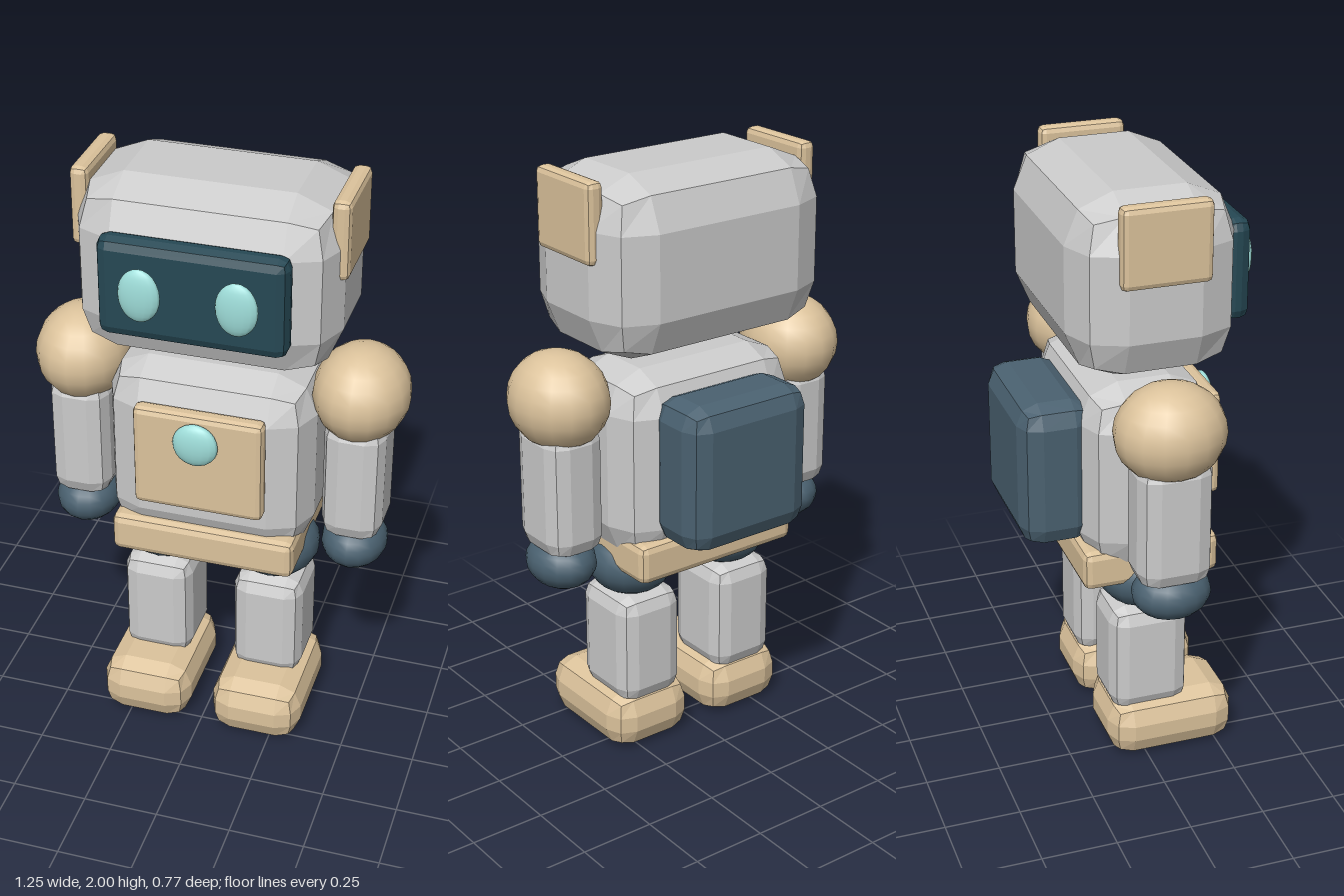
import * as THREE from 'three';
import { RoundedBoxGeometry } from 'three/addons/geometries/RoundedBoxGeometry.js';

const shell = new THREE.MeshStandardMaterial({ color: 0xd6dad8, flatShading: true });
const tan = new THREE.MeshStandardMaterial({ color: 0xdcc39c, flatShading: true });
const slate = new THREE.MeshStandardMaterial({ color: 0x4a6170, flatShading: true });
const dark = new THREE.MeshStandardMaterial({ color: 0x264854, flatShading: true });
const tanSmooth = new THREE.MeshStandardMaterial({ color: 0xdcc39c });
const slateSmooth = new THREE.MeshStandardMaterial({ color: 0x4a6170 });
const glow = new THREE.MeshStandardMaterial({ color: 0x9fdeda });

// Faceted box given by its extents on each axis and a bevel radius
function block(name, [x0, x1], [y0, y1], [z0, z1], radius, material) {
  const mesh = new THREE.Mesh(new RoundedBoxGeometry(x1 - x0, y1 - y0, z1 - z0, 1, radius), material);
  mesh.position.set((x0 + x1) / 2, (y0 + y1) / 2, (z0 + z1) / 2);
  mesh.name = name;
  return mesh;
}

// Smooth ellipsoid given by its centre and radii
function ball(name, centre, radii, material) {
  const mesh = new THREE.Mesh(new THREE.SphereGeometry(1, 16, 12), material);
  mesh.scale.set(...radii);
  mesh.position.set(...centre);
  mesh.name = name;
  return mesh;
}

export function createModel() {
  const robot = new THREE.Group();
  robot.name = 'robot';

  // Head and face screen
  robot.add(block('head', [-0.425, 0.425], [1.41, 2.0], [-0.257, 0.285], 0.155, shell));
  robot.add(block('faceScreen', [-0.3, 0.3], [1.54, 1.87], [0.25, 0.34], 0.035, dark));

  // Torso, chest panel and light, belt and backpack
  robot.add(block('torso', [-0.345, 0.345], [0.71, 1.355], [-0.2, 0.232], 0.13, shell));
  robot.add(block('chestPanel', [-0.215, 0.215], [0.9, 1.26], [0.225, 0.285], 0.02, tan));
  robot.add(ball('chestLight', [0, 1.167, 0.298], [0.075, 0.075, 0.028], glow));
  robot.add(block('belt', [-0.31, 0.31], [0.665, 0.8], [-0.21, 0.25], 0.025, tan));
  robot.add(block('backpack', [-0.237, 0.237], [0.8, 1.295], [-0.388, -0.14], 0.07, slate));

  // Paired parts, built on the left (+x) and mirrored to the right
  for (const [side, s] of [['left', 1], ['right', -1]]) {
    const span = (a, b) => (s > 0 ? [a, b] : [-b, -a]);
    robot.add(ball(side + 'Eye', [s * 0.152, 1.71, 0.36], [0.067, 0.088, 0.025], glow));
    robot.add(block(side + 'Ear', span(0.38, 0.44), [1.74, 2.0], [-0.13, 0.16], 0.02, tan));

    // Arm
    robot.add(ball(side + 'Shoulder', [s * 0.467, 1.285, 0.015], [0.158, 0.16, 0.18], tanSmooth));
    robot.add(block(side + 'Arm', span(0.365, 0.567), [0.77, 1.22], [-0.105, 0.14], 0.06, shell));
    robot.add(ball(side + 'Hand', [s * 0.467, 0.723, 0.025], [0.11, 0.09, 0.13], slateSmooth));

    // Leg
    robot.add(ball(side + 'Hip', [s * 0.195, 0.655, 0.018], [0.15, 0.12, 0.148], slateSmooth));
    robot.add(block(side + 'Leg', span(0.075, 0.315), [0.17, 0.56], [-0.115, 0.155], 0.055, shell));
    robot.add(block(side + 'Foot', span(0.04, 0.352), [0, 0.205], [-0.125, 0.315], 0.075, tan));
  }
  return robot;
}
